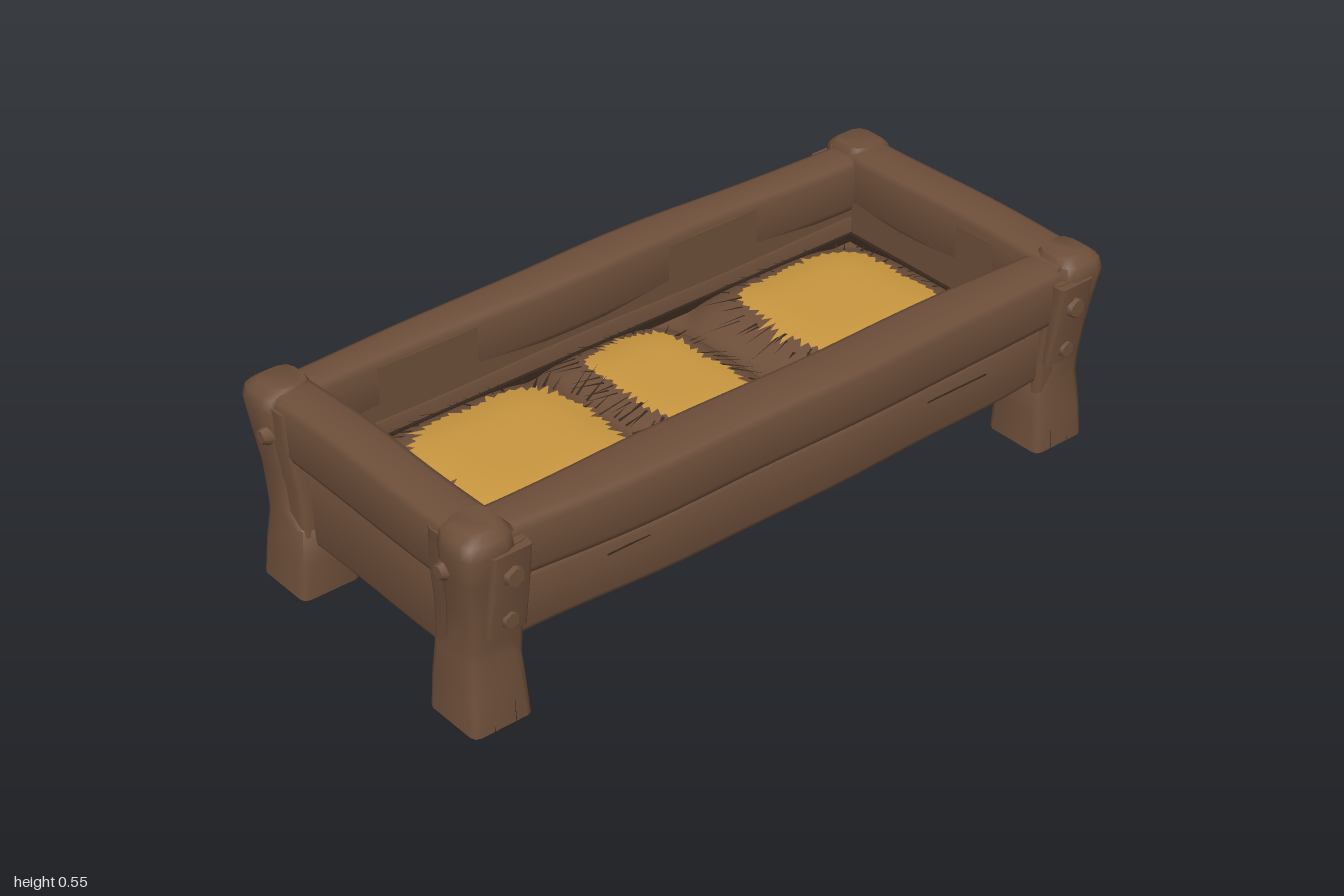
import * as THREE from 'three';
import { toCreasedNormals } from 'three/addons/utils/BufferGeometryUtils.js';

const wood = new THREE.MeshStandardMaterial({ color: 0x6e4f3a });
wood.name = 'brown wood';
const hay = new THREE.MeshStandardMaterial({ color: 0xc8963f, side: THREE.DoubleSide });
hay.name = 'golden hay';
const dark = new THREE.MeshStandardMaterial({ color: 0x36271c, side: THREE.DoubleSide });
dark.name = 'dark crevice';

let seed = 7;
const rand = () => (seed = (seed * 16807) % 2147483647) / 2147483647;
const span = (s, lo, hi) => (s > 0 ? [lo, hi] : [-hi, -lo]);

function surface(pos, idx) {
  const g = new THREE.BufferGeometry();
  g.setAttribute('position', new THREE.Float32BufferAttribute(pos, 3));
  g.setIndex(idx);
  return toCreasedNormals(g, 0.95);
}

// Rounded timber along axis k. Station: [t, a0, a1, b0, b1, corner], a and b being the next two axes.
function timber(k, stations) {
  const pos = [], idx = [], n = 12;
  const put = (t, a, b) => {
    const p = [0, 0, 0];
    p[k] = t; p[(k + 1) % 3] = a; p[(k + 2) % 3] = b;
    pos.push(...p);
  };
  for (const [t, a0, a1, b0, b1, c] of stations) {
    [[a1, b1, -1, -1], [a0, b1, 1, -1], [a0, b0, 1, 1], [a1, b0, -1, 1]].forEach(([a, b, sa, sb], q) => {
      for (let i = 0; i < 3; i++) {
        const w = (q + i / 2) * Math.PI / 2;
        put(t, a + sa * c + c * Math.cos(w), b + sb * c + c * Math.sin(w));
      }
    });
  }
  const m = stations.length;
  for (let i = 0; i < m - 1; i++) {
    for (let j = 0; j < n; j++) {
      const a = i * n + j, b = i * n + (j + 1) % n;
      idx.push(a, b, b + n, a, b + n, a + n);
    }
  }
  for (let j = 1; j < n - 1; j++) {
    const e = (m - 1) * n;
    idx.push(0, j + 1, j, e, e + j, e + j + 1);
  }
  return surface(pos, idx);
}

// Long hand-hewn beam with a gently wavy outline
function hewn(k, half, count, rule) {
  const st = [];
  for (let i = 0; i <= count; i++) {
    const t = -half + 2 * half * i / count;
    st.push([t, ...rule(t / half, t)]);
  }
  return timber(k, st);
}

// Heaps in the trough: [centre x, half width, half depth]
const heaps = [[-0.505, 0.225, 0.215], [-0.045, 0.13, 0.22], [0.52, 0.215, 0.215]];
const midZ = -0.01;
function bedHeight(x, z) {
  let b = 0;
  for (const [cx, hw] of heaps) {
    const u = (x - cx) / (hw + 0.12), v = (z - midZ) / 0.325;
    b = Math.max(b, 1 - Math.min(1, u ** 4 + v ** 4));
  }
  return 0.29 + 0.085 * b;
}
const squarish = (w) => (Math.cos(w) ** 4 + Math.sin(w) ** 4) ** -0.25;

export function createModel() {
  const model = new THREE.Group();
  const add = (name, geo, mat, parent = model) => {
    const m = new THREE.Mesh(geo, mat);
    m.name = name;
    parent.add(m);
    return m;
  };
  const box = (name, size, at, mat) => add(name, new THREE.BoxGeometry(...size), mat).position.set(...at);

  // Long sides: bulging top rail over a plank, lined inside
  for (const s of [1, -1]) {
    const side = s > 0 ? 'front' : 'back', inner = s > 0 ? 0.3 : 0.325;
    add(side + 'TopRail', hewn(0, 0.95, 24, (u, x) => [
      0.373 + 0.003 * Math.sin(6 * x + s), 0.532 + 0.003 * Math.sin(5 * x + 1),
      ...span(s, inner + 0.006 * Math.sin(7 * x + s),
        0.42 + 0.03 * (1 - u * u) + 0.003 * Math.sin(9 * x)), 0.026]), wood);
    add(side + 'Plank', hewn(0, 0.9, 20, (u, x) => [
      0.2 + 0.002 * Math.sin(8 * x), 0.368 + 0.003 * Math.sin(7 * x + 2),
      ...span(s, 0.325, 0.392 + 0.03 * (1 - u * u) + 0.003 * Math.sin(11 * x)), 0.02]), wood);
    box(side + 'Gap', [1.7, 0.03, 0.035], [0, 0.37, s * 0.372], dark);
    box(side + 'Lining', [1.7, 0.26, 0.04], [0, 0.37, s * (inner + 0.023)], wood);
    box(side + 'Rim', [1.69, 0.04, 0.012], [0, 0.292, s * (inner - 0.003)], dark);
    // Thin grain lines along the plank
    for (const [x, y, w] of [[-0.45, 0.325, 0.26], [0.52, 0.315, 0.2]]) {
      box(side + 'Grain', [w, 0.003, 0.003], [x, y, s * (0.393 + 0.03 * (1 - (x / 0.9) ** 2))], dark);
    }
  }

  // Short ends
  for (const s of [1, -1]) {
    const side = s > 0 ? 'left' : 'right';
    add(side + 'TopRail', hewn(2, 0.42, 12, (u, z) => [
      ...span(s, 0.845 + 0.003 * Math.sin(12 * z), 0.972 + 0.003 * Math.sin(9 * z)),
      0.38 + 0.001 * Math.sin(14 * z), 0.544 + 0.003 * Math.cos(8 * z), 0.024]), wood);
    add(side + 'Plank', hewn(2, 0.34, 10, (u, z) => [
      ...span(s, 0.85, 0.93 + 0.003 * Math.sin(10 * z)), 0.142 + 0.002 * Math.sin(9 * z), 0.355, 0.015]), wood);
    box(side + 'Strip', [0.075, 0.04, 0.66], [s * 0.886, 0.372, 0], wood);
    box(side + 'Gap', [0.004, 0.004, 0.54], [s * 0.923, 0.355, 0], dark);
    box(side + 'Lining', [0.04, 0.26, 0.64], [s * 0.867, 0.37, -0.012], wood);
    box(side + 'Rim', [0.012, 0.04, 0.63], [s * 0.842, 0.292, -0.012], dark);
  }

  // Corner posts with brackets and pegs
  for (const sx of [1, -1]) {
    for (const sz of [1, -1]) {
      const post = new THREE.Group();
      post.name = (sz > 0 ? 'front' : 'back') + (sx > 0 ? 'Left' : 'Right') + 'Post';
      model.add(post);
      const rows = [
        [0, 0.25, 0.428, 0.81, 0.977, 0.018], [0.1, 0.25, 0.422, 0.813, 0.973, 0.025],
        [0.19, 0.255, 0.413, 0.816, 0.966, 0.03], [0.225, 0.3, 0.415, 0.835, 0.966, 0.03],
        [0.32, 0.305, 0.426, 0.848, 0.968, 0.03], [0.42, 0.31, 0.44, 0.848, 0.982, 0.033],
        [0.5, 0.312, 0.456, 0.85, 0.99, 0.036], [0.532, 0.315, 0.448, 0.852, 0.984, 0.036],
        [0.55, 0.325, 0.425, 0.862, 0.962, 0.03]];
      add('post', timber(1, rows.map(([y, z0, z1, x0, x1, c]) =>
        [y, ...span(sz, z0, z1), ...span(sx, x0, x1), c])), wood, post);
      // Outer cheeks wrapping the rail ends on both faces
      add('endCheek', timber(1, [[0.17, 0.255, 0.956], [0.3, 0.261, 0.96], [0.42, 0.27, 0.975], [0.515, 0.278, 0.978]]
        .map(([y, z, x]) => [y, ...span(sz, z, 0.39), ...span(sx, 0.9, x), 0.015])), wood, post);
      add('sideCheek', timber(1, [[0.17, 0.409, 0.816], [0.3, 0.418, 0.817], [0.42, 0.435, 0.82], [0.5, 0.444, 0.824]]
        .map(([y, z, x]) => [y, ...span(sz, 0.37, z), ...span(sx, x, 0.93), 0.015])), wood, post);
      // Bracket leaning with the post face
      add('bracket', timber(1, [[0.262, 0.4, 0.433], [0.32, 0.4, 0.441], [0.42, 0.4, 0.456], [0.497, 0.42, 0.464]]
        .map(([y, z0, z1]) => [y, ...span(sz, z0, z1), ...span(sx, 0.822, 0.93), 0.008])), wood, post);
      // Blunt wooden pegs: two on the bracket, one on the end face
      for (const [y, z, r] of [[0.43, 0.453, 0.04], [0.3, 0.431, 0.034]]) {
        const p = add('peg', new THREE.CylinderGeometry(r * 0.6, r, 0.034, 6), wood, post);
        p.rotation.x = sz * Math.PI / 2;
        p.position.set(sx * 0.875, y, sz * z);
      }
      const p = add('endPeg', new THREE.CylinderGeometry(0.018, 0.033, 0.032, 5), wood, post);
      p.rotation.z = -sx * Math.PI / 2;
      p.position.set(sx * 0.984, 0.435, sz * 0.347);
      // Splits in the wood at the foot
      for (const [x, h] of [[0.86, 0.06], [0.92, 0.035]]) {
        const c = add('split', new THREE.ConeGeometry(0.004, h, 4), dark, post);
        c.position.set(sx * x, h / 2, sz * 0.425);
      }
    }
  }

  // Trough bottom
  box('bottomBoard', [1.74, 0.05, 0.74], [0, 0.23, 0], wood);

  // Uneven bed inside the trough
  const bed = new THREE.PlaneGeometry(1.7, 0.64, 70, 32).rotateX(-Math.PI / 2).translate(0, 0, -0.012);
  const bp = bed.attributes.position;
  for (let i = 0; i < bp.count; i++) bp.setY(i, bedHeight(bp.getX(i), bp.getZ(i)));
  bed.computeVertexNormals();
  add('bed', bed, wood);

  // Ragged hay patches draped over the heaps, fringed with dark straws
  for (const [cx, hw, hd] of heaps) {
    const n = 110, rings = 7, pos = [cx, bedHeight(cx, midZ) + 0.008, midZ], idx = [];
    const edge = Array.from({ length: n }, (_, j) =>
      1 + 0.03 * Math.sin(j * 0.4 + cx * 9) + (j % 2 ? -0.03 - 0.1 * rand() ** 3 : 0.01 + 0.16 * rand() ** 4));
    for (let r = 1; r <= rings; r++) {
      for (let j = 0; j < n; j++) {
        const w = j / n * Math.PI * 2, k = r / rings * squarish(w) * (r === rings ? edge[j] : 0.98);
        const x = cx + hw * k * Math.cos(w), z = midZ + hd * k * Math.sin(w);
        pos.push(x, bedHeight(x, z) + 0.008, z);
        const a = 1 + (r - 1) * n + j, b = 1 + (r - 1) * n + (j + 1) % n;
        if (r === 1) idx.push(0, b, a);
        else idx.push(a - n, b - n, b, a - n, b, a);
      }
    }
    add('hayPatch', surface(pos, idx), hay);

    const sp = [], si = [];
    for (let j = 0; j < 60; j++) {
      const w = (j + rand()) / 60 * Math.PI * 2, c = Math.cos(w), s = Math.sin(w);
      const k0 = squarish(w) * (0.97 + 0.2 * rand()), len = 0.03 + 0.08 * rand(), half = 0.002 + 0.003 * rand();
      const x0 = cx + hw * k0 * c, z0 = midZ + hd * k0 * s;
      const x1 = THREE.MathUtils.clamp(x0 + len * c, -0.835, 0.835), z1 = THREE.MathUtils.clamp(z0 + len * s, -0.315, 0.29);
      const o = sp.length / 3;
      sp.push(x0 - s * half, bedHeight(x0, z0) + 0.01, z0 + c * half,
        x0 + s * half, bedHeight(x0, z0) + 0.01, z0 - c * half, x1, bedHeight(x1, z1) + 0.022, z1);
      si.push(o, o + 1, o + 2);
    }
    add('straws', surface(sp, si), dark);
  }
  return model;
}
